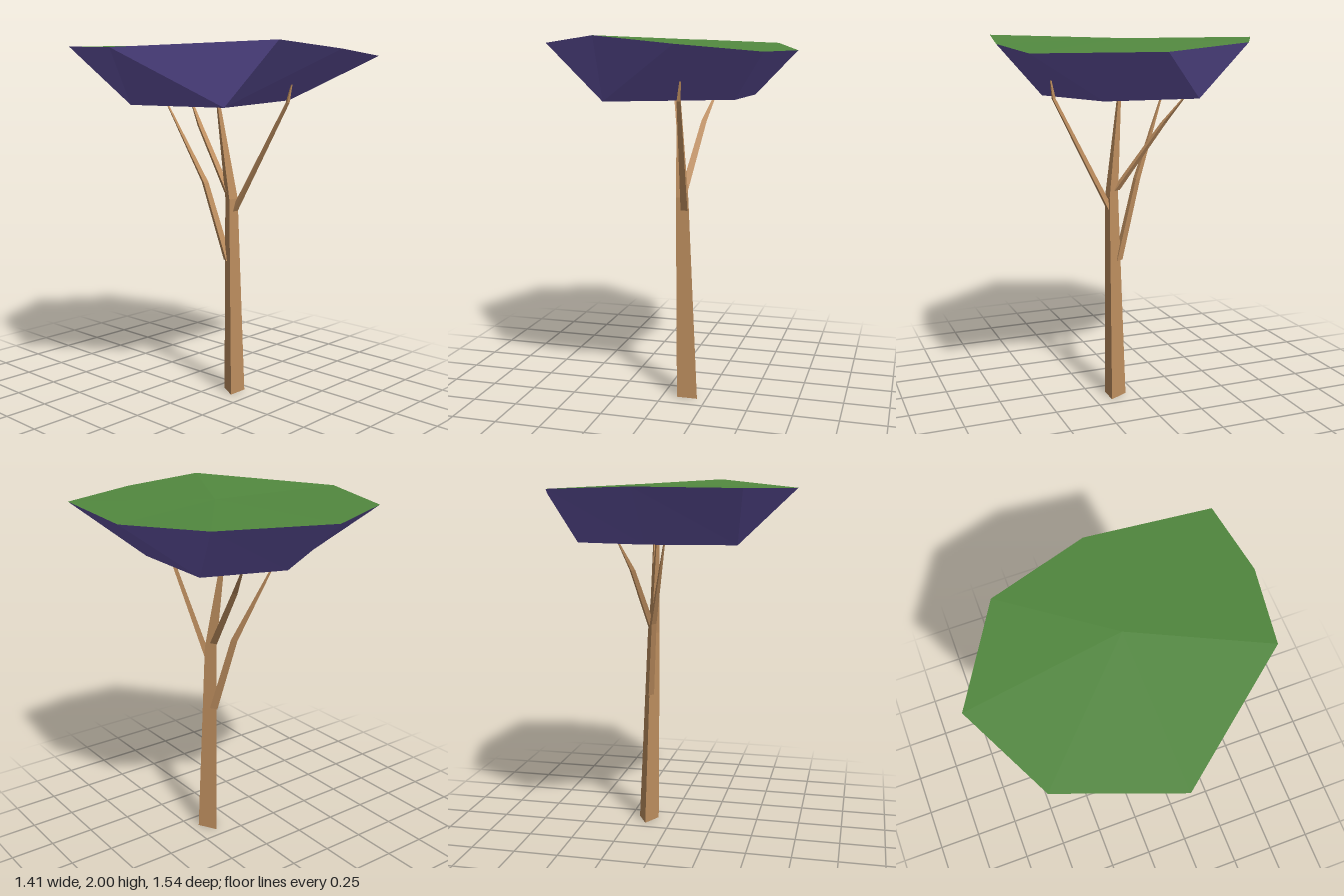
import * as THREE from 'three';

const material = (color) => new THREE.MeshStandardMaterial({ color, flatShading: true });
const bark = material(0xc09060);
const leafTop = material(0x52893f);
const leafUnder = material(0x6a5aae);

function addMesh(group, name, triangles, mat) {
  const geometry = new THREE.BufferGeometry();
  geometry.setAttribute('position', new THREE.Float32BufferAttribute(triangles.flat(), 3));
  geometry.computeVertexNormals();
  const mesh = new THREE.Mesh(geometry, mat);
  mesh.name = name;
  group.add(mesh);
}

// Three-sided limb through sections [x, y, z, radius], flat side to the front
function addLimb(group, name, sections) {
  const rings = sections.map(([x, y, z, r]) => [
    [x + r * 0.87, y, z + r * 0.55],
    [x, y, z - r],
    [x - r * 0.87, y, z + r * 0.55],
  ]);
  const tris = [];
  for (let s = 0; s < rings.length - 1; s++) {
    for (let i = 0; i < 3; i++) {
      const j = (i + 1) % 3;
      const lower = rings[s], upper = rings[s + 1];
      tris.push(lower[i], lower[j], upper[j], lower[i], upper[j], upper[i]);
    }
  }
  const first = rings[0], last = rings[rings.length - 1];
  tris.push(first[0], first[2], first[1], last[0], last[1], last[2]);
  addMesh(group, name, tris, bark);
}

export function createModel() {
  const tree = new THREE.Group();
  tree.name = 'tree';

  // Trunk and its three forks
  addLimb(tree, 'trunk', [
    [0.142, 0, 0.122, 0.067],
    [0.108, 1.14, 0.125, 0.04],
    [0.065, 1.7, 0.06, 0.011],
  ]);
  addLimb(tree, 'frontBranch', [
    [0.12, 1.07, 0.14, 0.022],
    [0.175, 1.68, 0.465, 0.012],
    [0.188, 1.79, 0.485, 0.004],
  ]);
  addLimb(tree, 'upperBackBranch', [
    [0.11, 1.17, 0.1, 0.024],
    [0.155, 1.53, -0.16, 0.018],
    [0.2, 1.7, -0.29, 0.005],
  ]);
  addLimb(tree, 'lowerBackBranch', [
    [0.12, 0.78, 0.09, 0.026],
    [0.07, 1.22, -0.04, 0.022],
    [-0.045, 1.7, -0.25, 0.005],
  ]);

  // Canopy: eight-point rim, five-point underside
  const rim = [
    [0, 1.985, -0.77], [0.52, 1.965, -0.47], [0.705, 1.927, 0.06], [0.64, 1.925, 0.72],
    [0.23, 1.96, 0.77], [-0.19, 2, 0.7], [-0.705, 1.965, 0.06], [-0.49, 1.975, -0.53],
  ];
  const base = [
    [0.02, 1.69, -0.42], [0.43, 1.68, -0.24], [0.42, 1.68, 0.28],
    [-0.25, 1.667, 0.4], [-0.41, 1.67, -0.12],
  ];
  const nearest = [0, 1, 2, 2, 3, 3, 4, 4]; // base corner below each rim corner
  const crown = [0.13, 1.983, 0.05];

  const top = [], under = [];
  rim.forEach((corner, i) => {
    const j = (i + 1) % rim.length;
    const a = base[nearest[i]], b = base[nearest[j]];
    top.push(crown, rim[j], corner);
    under.push(a, corner, rim[j]);
    if (a !== b) under.push(a, rim[j], b);
  });
  for (let i = 1; i < base.length - 1; i++) under.push(base[0], base[i], base[i + 1]);

  const canopy = new THREE.Group();
  canopy.name = 'canopy';
  addMesh(canopy, 'canopyTop', top, leafTop);
  addMesh(canopy, 'canopyUnderside', under, leafUnder);
  tree.add(canopy);
  return tree;
}
